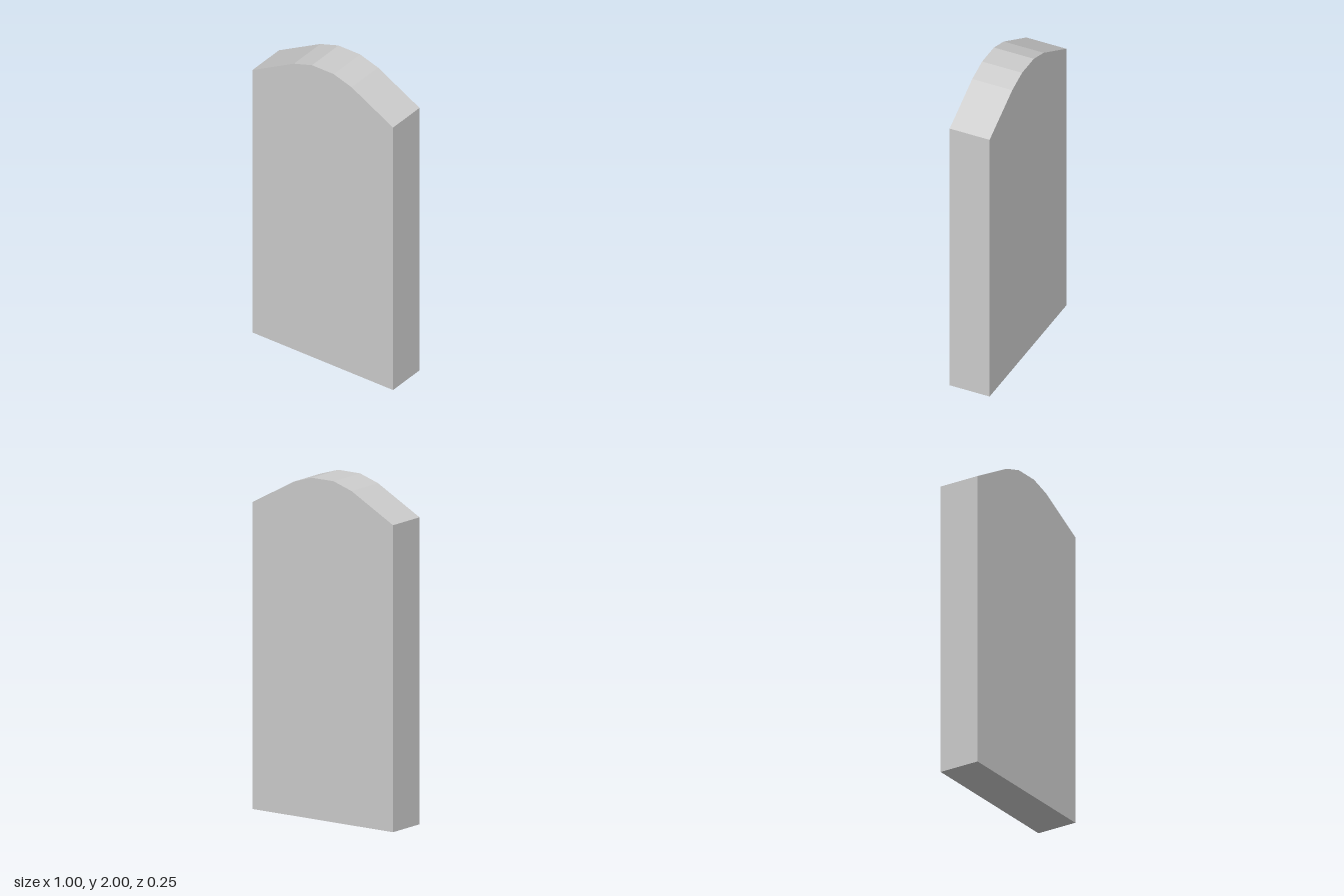
import * as THREE from 'three';

const DEPTH = 0.254;

export function createModel() {
  const group = new THREE.Group();
  group.name = 'headstone';

  // Right half of the outline, from the base up to the faceted crown
  const half = [[0.5, 0], [0.5, 1.8], [0.205, 1.96], [0.077, 2]];
  const mirrored = half.map(([x, y]) => [-x, y]).reverse();
  const outline = new THREE.Shape(
    [...half, ...mirrored].map(([x, y]) => new THREE.Vector2(x, y))
  );

  // Upright slab, centred on z
  const geometry = new THREE.ExtrudeGeometry(outline, { depth: DEPTH, bevelEnabled: false });
  geometry.translate(0, 0, -DEPTH / 2);

  const slab = new THREE.Mesh(
    geometry,
    new THREE.MeshStandardMaterial({ color: 0xcccccc, flatShading: true })
  );
  slab.name = 'slab';
  group.add(slab);

  return group;
}
